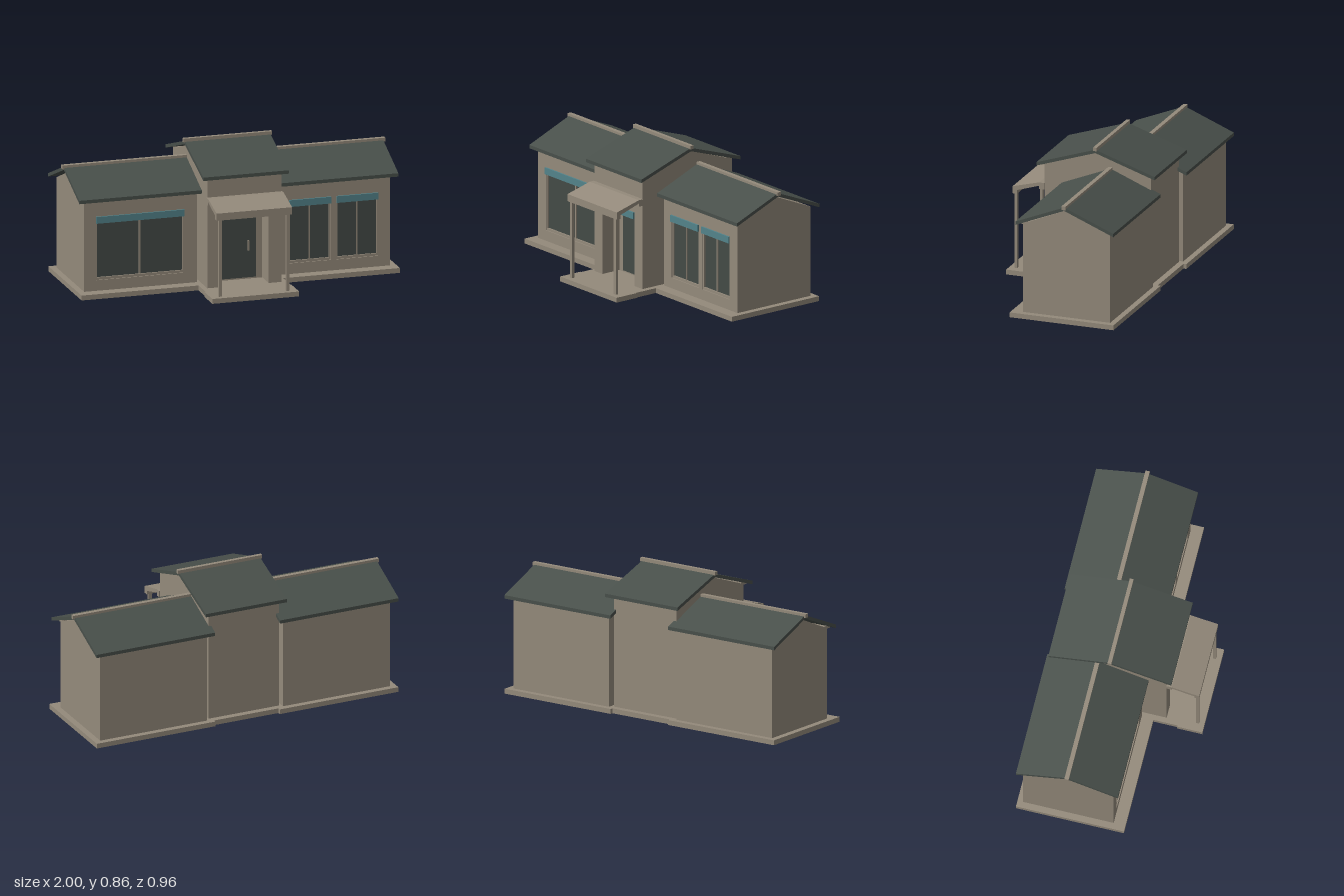
import * as THREE from 'three';

export function createModel() {
  const root = new THREE.Group();
  root.name = 'building';
  const mat = (name, color) => {
    const m = new THREE.MeshStandardMaterial({ color });
    m.name = name;
    return m;
  };
  const stone = mat('stone', 0x948a7b);
  const roofing = mat('roofing', 0x484f4a);
  const glass = mat('glass', 0x434a46);
  const teal = mat('teal', 0x53838a);

  const add = (name, geometry, material, parent) => {
    const mesh = new THREE.Mesh(geometry, material);
    mesh.name = name;
    parent.add(mesh);
    return mesh;
  };
  // Box given by its extents
  const box = (name, material, parent, x0, x1, y0, y1, z0, z1) => {
    const g = new THREE.BoxGeometry(x1 - x0, y1 - y0, z1 - z0);
    g.translate((x0 + x1) / 2, (y0 + y1) / 2, (z0 + z1) / 2);
    return add(name, g, material, parent);
  };
  const polygon = (pts) => new THREE.Shape(pts.map(([a, b]) => new THREE.Vector2(a, b)));
  const rect = (x0, x1, y0, y1) => polygon([[x0, y0], [x1, y0], [x1, y1], [x0, y1]]);
  // Profile of (z, y) points stretched from x0 to x1
  const alongX = (name, material, parent, pts, x0, x1) => {
    const g = new THREE.ExtrudeGeometry(polygon(pts), { depth: x1 - x0, bevelEnabled: false });
    g.rotateY(-Math.PI / 2);
    g.translate(x1, 0, 0);
    return add(name, g, material, parent);
  };
  // Front-facing slab between z0 and z1, with optional holes
  const slab = (name, material, parent, shape, holes, z0, z1) => {
    shape.holes.push(...holes);
    const g = new THREE.ExtrudeGeometry(shape, { depth: z1 - z0, bevelEnabled: false });
    g.translate(0, 0, z0);
    return add(name, g, material, parent);
  };
  // Two-slope roof sheet
  const roof = (parent, x0, x1, zFront, zPeak, zBack, yEave, yPeak) => {
    const t = 0.021;
    alongX('roof', roofing, parent, [
      [zFront, yEave - t], [zPeak, yPeak - t], [zBack, yEave - t],
      [zBack, yEave], [zPeak, yPeak], [zFront, yEave],
    ], x0, x1);
  };

  // Side wings
  const wing = (name, side, windows) => {
    const g = new THREE.Group();
    g.name = name;
    root.add(g);
    const span = (a, b) => (side > 0 ? [a, b] : [-b, -a]);
    const [w0, w1] = span(0.248, 0.948);
    const [p0, p1] = span(0.21, 0.986);
    const [r0, r1] = span(0.212, 0.988);
    const [c0, c1] = span(0.225, 1);

    box('wingBase', stone, g, p0, p1, 0, 0.03, -0.478, 0.18);
    box('wingWalls', stone, g, w0, w1, 0.03, 0.583, -0.443, 0.088);
    slab('wingFrontWall', stone, g, rect(w0, w1, 0.03, 0.583),
      windows.map(([a, b]) => rect(a, b, 0.095, 0.485)), 0.088, 0.108);
    alongX('gable', stone, g, [[0.108, 0.583], [-0.167, 0.7], [-0.443, 0.583]], w0, w1);
    box('eaveBoard', stone, g, w0, w1, 0.58, 0.598, 0.082, 0.135);
    roof(g, r0, r1, 0.143, -0.167, -0.478, 0.603, 0.729);
    box('ridgeCap', stone, g, c0, c1, 0.716, 0.739, -0.18, -0.154);

    // Windows set into the wall, each with a shade across the top
    for (const [a, b] of windows) {
      const mid = (a + b) / 2;
      slab('windowFrame', stone, g, rect(a, b, 0.095, 0.485),
        [rect(a + 0.01, b - 0.01, 0.11, 0.472)], 0.088, 0.102);
      box('windowGlass', glass, g, a + 0.01, b - 0.01, 0.11, 0.472, 0.087, 0.093);
      box('windowMullion', stone, g, mid - 0.004, mid + 0.004, 0.11, 0.472, 0.088, 0.1);
      box('windowShade', teal, g, a, b, 0.445, 0.486, 0.09, 0.118);
    }
  };
  wing('rightWing', -1, [[-0.875, -0.328]]);
  wing('leftWing', 1, [[0.32, 0.58], [0.614, 0.874]]);

  // Central hall
  const hall = new THREE.Group();
  hall.name = 'centralHall';
  root.add(hall);
  box('hallBase', stone, hall, -0.262, 0.262, 0, 0.03, -0.46, 0.327);
  box('hallWalls', stone, hall, -0.23, 0.228, 0.03, 0.706, -0.422, 0.125);
  slab('entranceWall', stone, hall, polygon([
    [-0.23, 0.03], [-0.153, 0.03], [-0.153, 0.487], [0.15, 0.487],
    [0.15, 0.03], [0.228, 0.03], [0.228, 0.706], [-0.23, 0.706],
  ]), [], 0.125, 0.253);
  alongX('hallGable', stone, hall, [[0.253, 0.706], [-0.084, 0.825], [-0.422, 0.706]], -0.23, 0.228);
  box('hallFrontEave', stone, hall, -0.23, 0.228, 0.702, 0.723, 0.225, 0.28);
  box('hallBackEave', stone, hall, -0.23, 0.228, 0.706, 0.724, -0.422, -0.366);
  roof(hall, -0.266, 0.264, 0.29, -0.084, -0.459, 0.724, 0.848);
  box('hallRidgeCap', stone, hall, -0.276, 0.274, 0.842, 0.864, -0.096, -0.073);

  // Recessed door
  box('doorGlass', glass, hall, -0.112, 0.108, 0.04, 0.46, 0.125, 0.132);
  box('doorHandle', stone, hall, 0.056, 0.066, 0.205, 0.268, 0.132, 0.14);
  box('doorShade', teal, hall, -0.153, 0.15, 0.445, 0.486, 0.235, 0.263);

  // Porch with a sloping canopy on two posts
  const porch = new THREE.Group();
  porch.name = 'porch';
  root.add(porch);
  box('porchBase', stone, porch, -0.27, 0.268, 0, 0.03, 0.327, 0.48);
  alongX('canopy', stone, porch, [
    [0.452, 0.5], [0.424, 0.5], [0.424, 0.523], [0.285, 0.567], [0.285, 0.548],
    [0.253, 0.548], [0.253, 0.588], [0.285, 0.588], [0.452, 0.544],
  ], -0.235, 0.233);
  for (const x of [-0.21, 0.208]) {
    box('porchPost', stone, porch, x - 0.01, x + 0.01, 0.03, 0.5, 0.429, 0.447);
  }

  return root;
}
